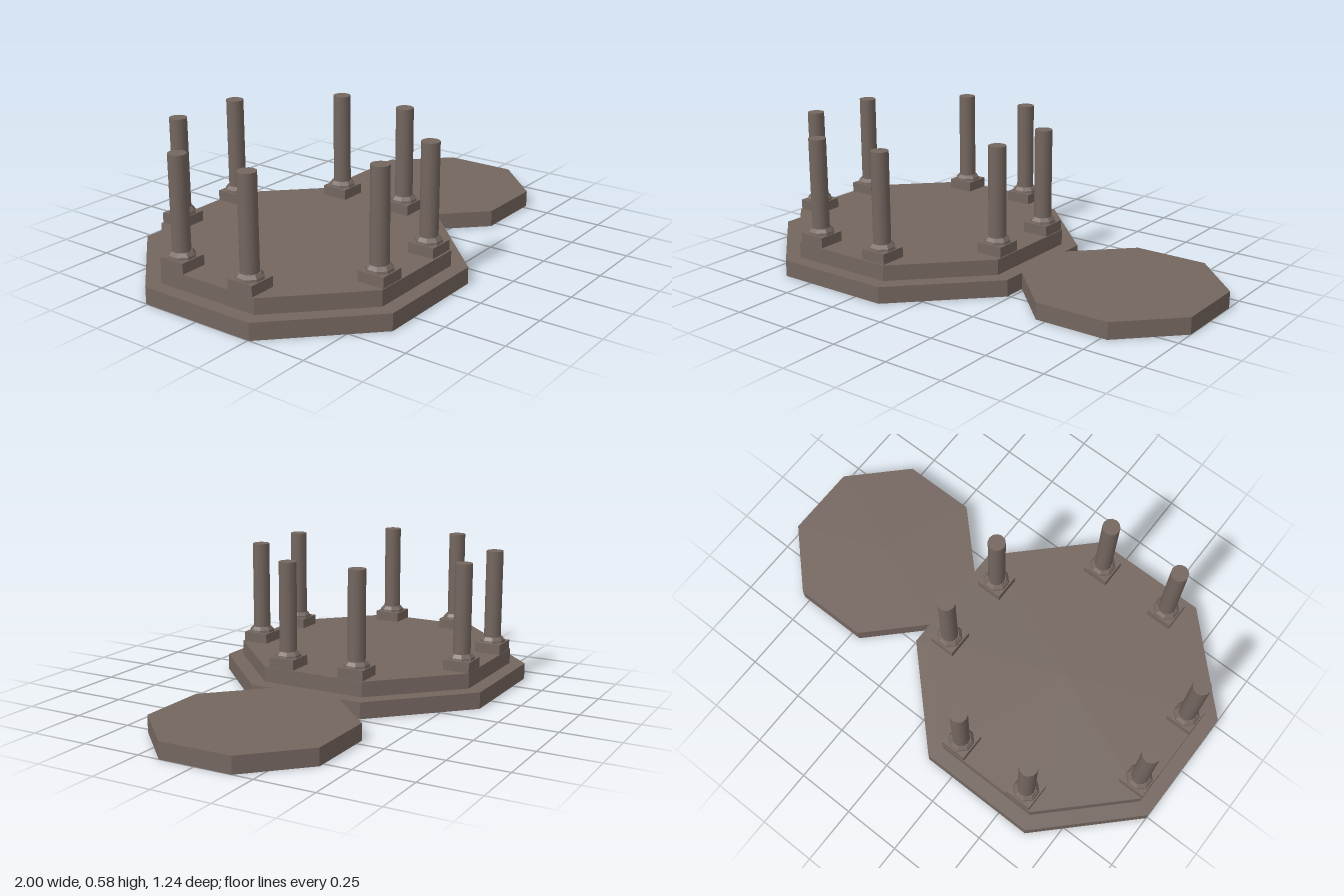
import * as THREE from 'three';

const stone = new THREE.MeshStandardMaterial({ color: 0x74665f });
stone.name = 'stone';

function add(parent, name, geometry, x, y, z) {
  const mesh = new THREE.Mesh(geometry, stone);
  mesh.name = name;
  mesh.position.set(x, y, z);
  parent.add(mesh);
  return mesh;
}

// Octagonal slab with flat sides facing the axes, sized by its apothem
function slab(apothem, height) {
  const r = apothem / Math.cos(Math.PI / 8);
  const g = new THREE.CylinderGeometry(r, r, height, 8).rotateY(Math.PI / 8).toNonIndexed();
  g.computeVertexNormals();
  return g;
}

// Faceted base moulding between plinth and shaft
function collarGeometry() {
  const profile = [[0.056, 0], [0.054, 0.01], [0.042, 0.024], [0, 0.024]];
  const g = new THREE.LatheGeometry(profile.map(([x, y]) => new THREE.Vector2(x, y)), 8)
    .rotateY(Math.PI / 8).toNonIndexed();
  g.computeVertexNormals();
  return g;
}

export function createModel() {
  const model = new THREE.Group();
  model.name = 'columnedPlatform';

  // Two-step main platform and the low side platform
  add(model, 'lowerPlatform', slab(0.618, 0.07), -0.382, 0.035, 0);
  add(model, 'upperPlatform', slab(0.556, 0.067), -0.384, 0.1015, 0);
  add(model, 'sidePlatform', slab(0.382, 0.07), 0.618, 0.035, -0.003);

  // Ring of eight columns, slightly irregular
  const plinth = new THREE.BoxGeometry(0.115, 0.043, 0.115);
  const collar = collarGeometry();
  const shaft = new THREE.CylinderGeometry(0.037, 0.037, 0.385, 12);
  const spots = [
    [-0.882, -0.173], [-0.882, 0.164], [-0.547, -0.497], [-0.21, -0.497],
    [0.11, -0.173], [0.11, 0.152], [-0.547, 0.495], [-0.213, 0.49],
  ];
  for (const [x, z] of spots) {
    const column = new THREE.Group();
    column.name = 'column';
    column.position.set(x, 0.135, z);
    add(column, 'plinth', plinth, 0, 0.0215, 0);
    add(column, 'collar', collar, 0, 0.043, 0);
    add(column, 'shaft', shaft, 0, 0.2535, 0);
    model.add(column);
  }
  return model;
}
